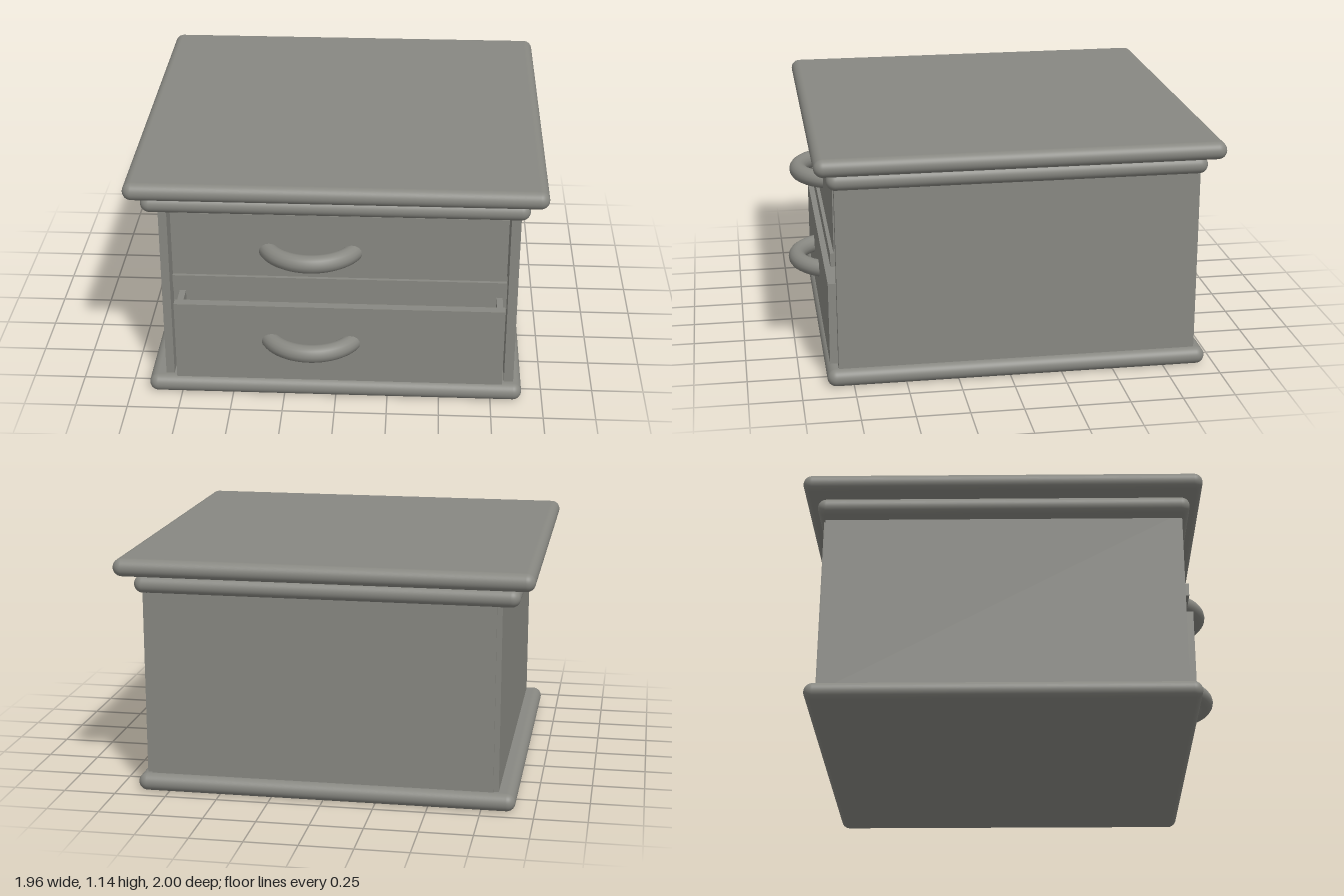
import * as THREE from 'three';
import { RoundedBoxGeometry } from 'three/addons/geometries/RoundedBoxGeometry.js';

export function createModel() {
  const model = new THREE.Group();
  model.name = 'drawerCabinet';
  const grey = new THREE.MeshStandardMaterial({ color: 0x888882 });
  grey.name = 'warm grey';

  const add = (parent, name, geometry) => {
    const mesh = new THREE.Mesh(geometry, grey);
    mesh.name = name;
    parent.add(mesh);
    return mesh;
  };

  // Boxes given by their limits on each axis
  const place = (mesh, x, y, z) => mesh.position.set((x[0] + x[1]) / 2, (y[0] + y[1]) / 2, (z[0] + z[1]) / 2);
  const box = (parent, name, x, y, z) =>
    place(add(parent, name, new THREE.BoxGeometry(x[1] - x[0], y[1] - y[0], z[1] - z[0])), x, y, z);
  const slab = (name, x, y, z) => {
    const height = y[1] - y[0];
    place(add(model, name, new RoundedBoxGeometry(x[1] - x[0], height, z[1] - z[0], 6, height / 2)), x, y, z);
  };

  // Base and the two stacked tops with half-round edges
  slab('base', [-0.91, 0.9], [0, 0.085], [-0.955, 0.875]);
  slab('lowerTop', [-0.91, 0.9], [0.97, 1.055], [-0.935, 0.855]);
  slab('upperTop', [-0.98, 0.98], [1.06, 1.145], [-1, 0.915]);
  box(model, 'topSpacer', [-0.83, 0.86], [1.04, 1.08], [-0.88, 0.81]);

  // Carcass
  box(model, 'rightSide', [-0.83, -0.79], [0.06, 1], [-0.9, 0.82]);
  box(model, 'leftSide', [0.815, 0.86], [0.06, 1], [-0.9, 0.82]);
  box(model, 'backPanel', [-0.805, 0.835], [0.06, 1], [-0.91, -0.87]);
  box(model, 'innerRail', [-0.79, 0.815], [0.4, 0.59], [0.68, 0.72]);

  // Bowed handle with rounded ends
  const handle = (parent, y, frontZ) => {
    const group = new THREE.Group();
    group.name = 'handle';
    const radius = 0.224, thick = 0.043, half = 1.13;
    const arc = add(group, 'handleBow', new THREE.TorusGeometry(radius, thick, 16, 32, half * 2));
    arc.rotation.set(Math.PI / 2, 0, Math.PI / 2 - half);
    for (const side of [-1, 1]) {
      const end = add(group, 'handleEnd', new THREE.SphereGeometry(thick, 16, 12));
      end.position.set(side * radius * Math.sin(half), 0, radius * Math.cos(half));
    }
    group.position.set(-0.118, y, frontZ - radius - thick);
    parent.add(group);
  };

  // Open-topped drawer box behind a front board
  const drawer = (name, bottom, top, frontTop, frontZ) => {
    const group = new THREE.Group();
    group.name = name;
    box(group, 'drawerFront', [-0.772, 0.805], [bottom, frontTop], [frontZ - 0.045, frontZ]);
    box(group, 'drawerBottom', [-0.76, 0.795], [bottom, bottom + 0.03], [-0.8, frontZ - 0.02]);
    box(group, 'drawerBack', [-0.76, 0.795], [bottom, top], [-0.8, -0.76]);
    for (const x of [-0.76, 0.765]) {
      box(group, 'drawerSide', [x, x + 0.03], [bottom, top], [-0.8, frontZ - 0.02]);
    }
    model.add(group);
    return group;
  };

  const upper = drawer('upperDrawer', 0.58, 0.9, 0.97, 0.825);
  box(upper, 'drawerLip', [-0.772, 0.805], [0.58, 0.645], [0.8, 0.842]);
  handle(upper, 0.775, 0.98);

  const lower = drawer('lowerDrawer', 0.09, 0.495, 0.495, 0.857);
  handle(lower, 0.3, 1);

  return model;
}
